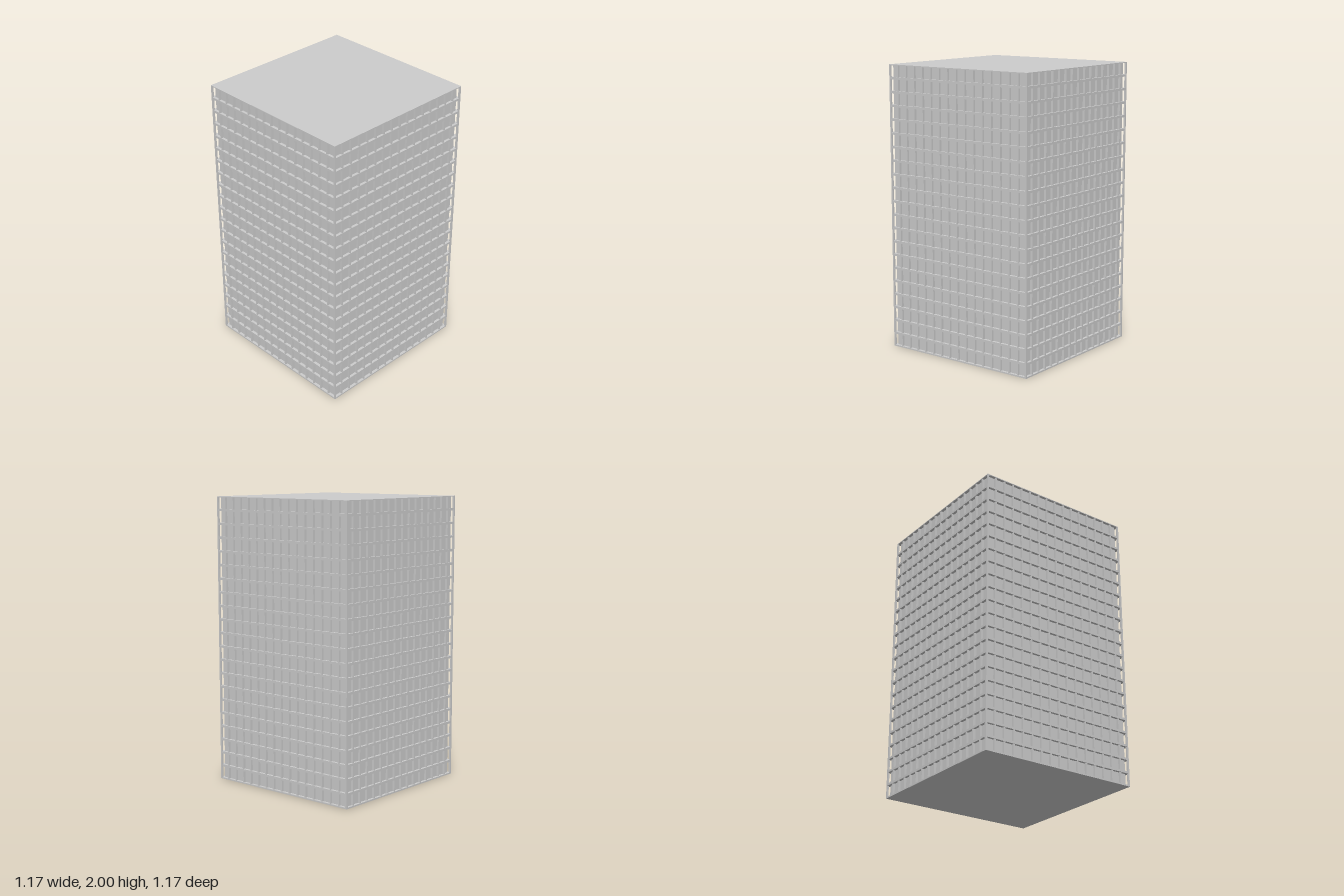
import * as THREE from 'three';

const WIDTH = 1.172, HEIGHT = 2, BAYS = 16, FLOORS = 21;
const RECESS = 0.02; // depth of the glass behind the facade grid
const POST = 0.012, MULLION = 0.01, BAND = 0.016;

export function createModel() {
  const model = new THREE.Group();
  model.name = 'officeTower';
  const material = new THREE.MeshStandardMaterial({ color: 0xcccccc, flatShading: true });

  const addBox = (parent, name, w, h, d, x, y, z) => {
    const mesh = new THREE.Mesh(new THREE.BoxGeometry(w, h, d), material);
    mesh.name = name;
    mesh.position.set(x, y, z);
    parent.add(mesh);
  };

  // Glazed core set back behind the grid
  const core = WIDTH - 2 * RECESS;
  addBox(model, 'glazedCore', core, HEIGHT - 0.01, core, 0, HEIGHT / 2, 0);

  // Floor bands, with thin plates closing the base and the roof
  const floorHeight = HEIGHT / FLOORS;
  const bands = new THREE.Group();
  bands.name = 'floorBands';
  model.add(bands);
  for (let i = 1; i < FLOORS; i++) {
    addBox(bands, 'floorBand', WIDTH - 0.002, BAND, WIDTH - 0.002, 0, i * floorHeight + 0.002, 0);
  }
  addBox(model, 'basePlate', WIDTH, 0.01, WIDTH, 0, 0.005, 0);
  addBox(model, 'roofPlate', WIDTH, 0.006, WIDTH, 0, HEIGHT - 0.003, 0);

  // Corner posts
  const corner = (WIDTH - POST) / 2;
  for (const x of [-corner, corner]) {
    for (const z of [-corner, corner]) {
      addBox(model, 'cornerPost', POST, HEIGHT - 0.004, POST, x, HEIGHT / 2, z);
    }
  }

  // One facade of vertical mullions, repeated on all four sides
  const bayWidth = WIDTH / BAYS;
  const depth = RECESS - 0.003;
  for (let side = 0; side < 4; side++) {
    const facade = new THREE.Group();
    facade.name = ['front', 'left', 'back', 'right'][side] + 'Mullions';
    facade.rotation.y = side * Math.PI / 2;
    for (let i = 1; i < BAYS; i++) {
      addBox(facade, 'mullion', MULLION, HEIGHT - 0.004, depth,
        -WIDTH / 2 + i * bayWidth, HEIGHT / 2, core / 2 + depth / 2);
    }
    model.add(facade);
  }
  return model;
}
